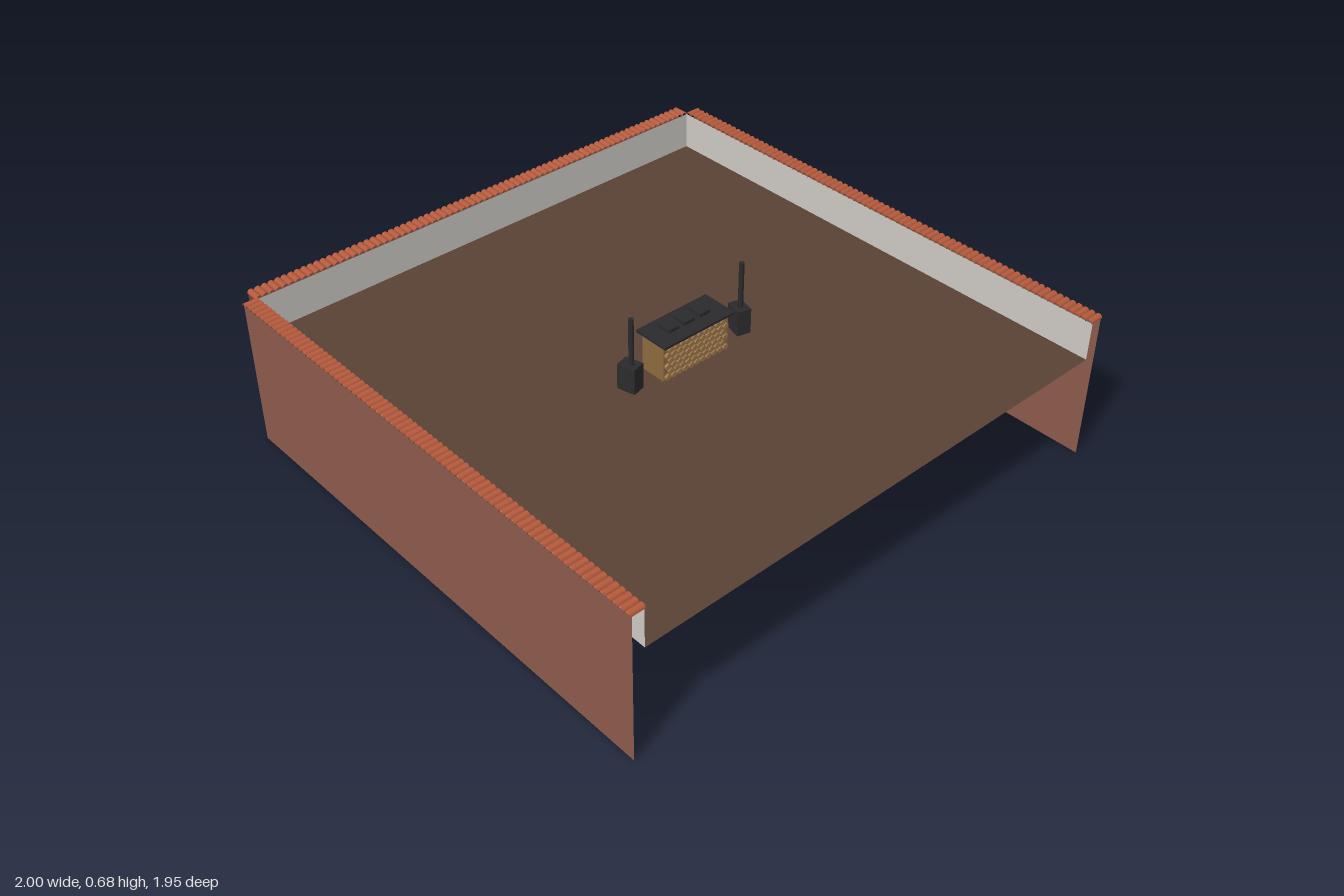
import * as THREE from 'three';
import { mergeGeometries } from 'three/addons/utils/BufferGeometryUtils.js';

const FLOOR_Y = 0.41, TOP_Y = 0.55;
const IN_X = 0.95, OUT_X = 0.993;
const BACK_Z = -0.925, OUT_Z = -0.975, FRONT_Z = 0.975;
const MID_Z = (BACK_Z + FRONT_Z) / 2, LENGTH = 1.9;

function material(color, open = false) {
  return new THREE.MeshStandardMaterial({ color, side: open ? THREE.DoubleSide : THREE.FrontSide });
}
const brick = material(0x8b5a4b, true);
const plaster = material(0xcdc9c4, true);
const soil = material(0x5a4234, true);
const clay = material(0xb55a3c, true);
const wood = material(0x8f6a40);
const weave = material(0xa07a4c);
const dark = material(0x2b2b2d);

function add(parent, name, geometry, mat, x = 0, y = 0, z = 0) {
  const mesh = new THREE.Mesh(geometry, mat);
  mesh.name = name;
  mesh.position.set(x, y, z);
  parent.add(mesh);
  return mesh;
}

// Row of open half-round tiles laid side by side along local x, each running along z
function tileRow() {
  const count = 76, pitch = LENGTH / count, tiles = [];
  for (let i = 0; i < count; i++) {
    const tile = new THREE.CylinderGeometry(pitch / 2, pitch / 2, 0.055, 8, 1, true, Math.PI / 2, Math.PI);
    tile.rotateX(Math.PI / 2);
    tile.computeBoundingBox();
    if (tile.boundingBox.max.y < 0.001) tile.rotateZ(Math.PI);
    tile.translate(-LENGTH / 2 + (i + 0.5) * pitch, 0, 0);
    tiles.push(tile);
  }
  return mergeGeometries(tiles);
}

// Staggered grid of round stick ends covering the counter front
function stickEnds() {
  const ends = [], r = 0.0125;
  for (let row = 0; row < 6; row++) {
    const odd = row % 2, n = 11 - odd;
    for (let i = 0; i < n; i++) {
      const end = new THREE.CylinderGeometry(r * 0.85, r, 0.008, 6);
      end.rotateX(Math.PI / 2);
      end.translate((i - (n - 1) / 2) * r * 2, r + row * 0.0205, 0);
      ends.push(end);
    }
  }
  return mergeGeometries(ends);
}

export function createModel() {
  const model = new THREE.Group();
  model.name = 'walledTerrace';

  const floor = add(model, 'floor', new THREE.PlaneGeometry(IN_X * 2, LENGTH), soil, 0, FLOOR_Y, MID_Z);
  floor.rotation.x = -Math.PI / 2;

  // Thin outer and inner wall sheets with tile copings
  const outer = new THREE.PlaneGeometry(LENGTH, TOP_Y);
  const inner = new THREE.PlaneGeometry(LENGTH, TOP_Y - FLOOR_Y);
  const coping = tileRow();
  const innerY = (TOP_Y + FLOOR_Y) / 2;
  for (const s of [-1, 1]) {
    const side = s > 0 ? 'left' : 'right';
    add(model, side + 'OuterWall', outer, brick, s * OUT_X, TOP_Y / 2, MID_Z).rotation.y = s * Math.PI / 2;
    add(model, side + 'InnerWall', inner, plaster, s * IN_X, innerY, MID_Z).rotation.y = -s * Math.PI / 2;
    add(model, side + 'Coping', coping, clay, s * 0.9725, TOP_Y, MID_Z).rotation.y = Math.PI / 2;
  }
  add(model, 'backOuterWall', outer, brick, 0, TOP_Y / 2, OUT_Z + 0.005).rotation.y = Math.PI;
  add(model, 'backInnerWall', inner, plaster, 0, innerY, BACK_Z);
  add(model, 'backCoping', coping, clay, 0, TOP_Y, OUT_Z + 0.026);

  // Counter with stick-end front, dark top and three devices
  const counter = new THREE.Group();
  counter.name = 'counter';
  counter.position.set(0, FLOOR_Y, 0.1);
  model.add(counter);
  add(counter, 'counterBody', new THREE.BoxGeometry(0.28, 0.136, 0.1), wood, 0, 0.068, 0);
  add(counter, 'counterFront', stickEnds(), weave, 0, 0, 0.054);
  add(counter, 'counterTop', new THREE.BoxGeometry(0.3, 0.009, 0.136), dark, 0, 0.14, 0);
  for (const x of [-0.067, 0, 0.067]) {
    add(counter, 'device', new THREE.BoxGeometry(0.044, 0.013, 0.054), dark, x, 0.151, -0.008);
  }

  // Speakers turned toward the middle, each with a pole on top
  for (const s of [-1, 1]) {
    const speaker = new THREE.Group();
    speaker.name = s > 0 ? 'leftSpeaker' : 'rightSpeaker';
    speaker.position.set(s * 0.238, FLOOR_Y, 0.103);
    speaker.rotation.y = -s * 0.25;
    model.add(speaker);
    add(speaker, 'speakerBox', new THREE.BoxGeometry(0.05, 0.094, 0.066), dark, 0, 0.047, 0);
    add(speaker, 'speakerPole', new THREE.CylinderGeometry(0.009, 0.009, 0.172, 12), dark, 0, 0.18, 0.005);
  }
  return model;
}
